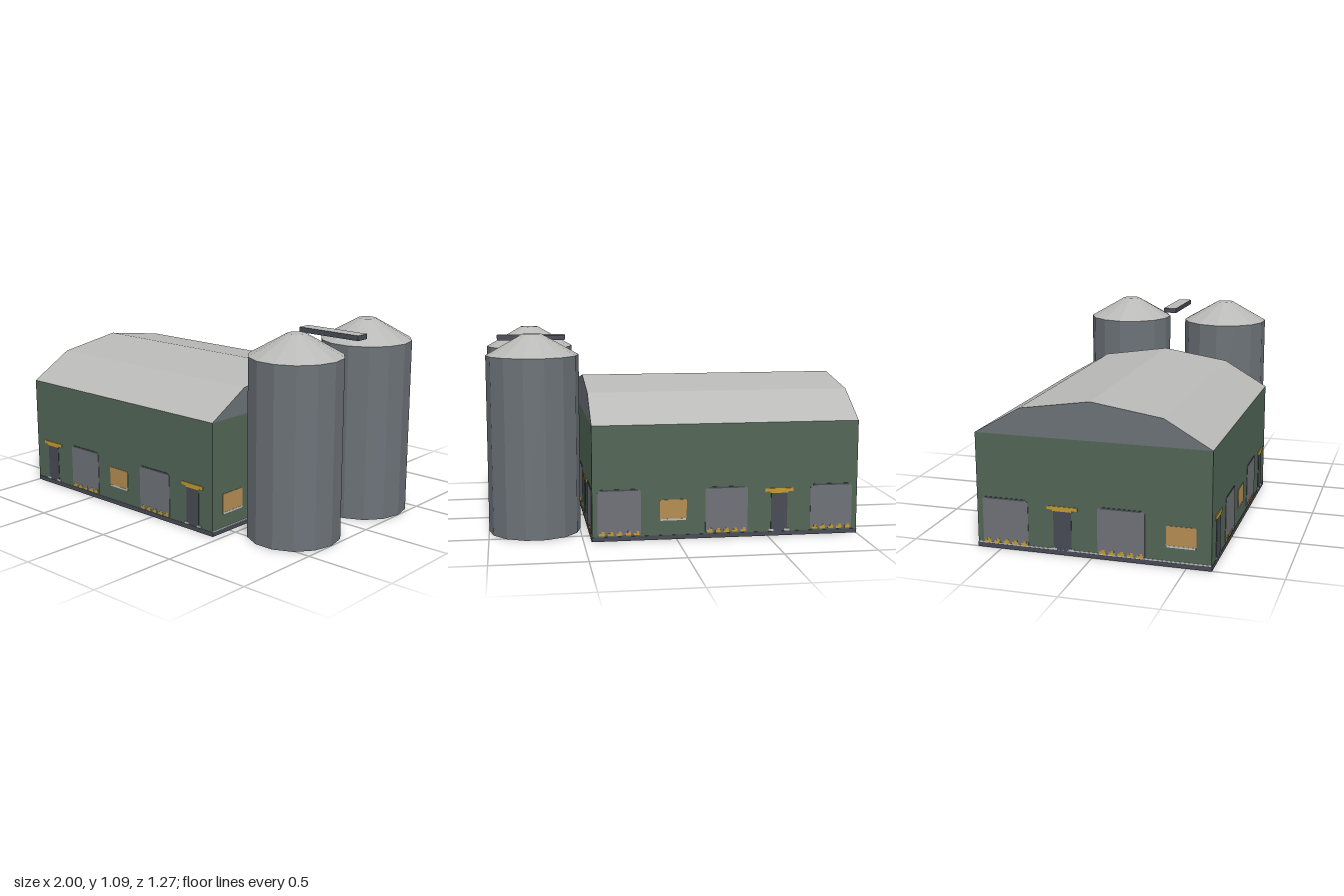
import * as THREE from 'three';

const mat = (name, color) => {
  const m = new THREE.MeshStandardMaterial({ color, side: THREE.DoubleSide, flatShading: true });
  m.name = name;
  return m;
};

export function createModel() {
  const M = {
    green: mat('wall green', 0x526656),
    roof: mat('roof light grey', 0xb9b9b8),
    steel: mat('steel grey', 0x6c7278),
    panel: mat('panel grey', 0x6e7177),
    dark: mat('dark slate', 0x484b55),
    yellow: mat('amber', 0xc39a30),
    tan: mat('window tan', 0xb58d52),
    light: mat('pale trim', 0xbcbdbd),
  };
  const X0 = -1, X1 = 0.455, Z = 0.63, EAVE = 0.625;
  const model = new THREE.Group();
  model.name = 'barnWithSilos';

  const add = (parent, name, geo, material, x = 0, y = 0, z = 0) => {
    const mesh = new THREE.Mesh(geo, material);
    mesh.name = name;
    mesh.position.set(x, y, z);
    parent.add(mesh);
    return mesh;
  };
  // thin plate straddling the wall sheet, so it shows inside and outside
  const plate = (parent, name, material, x, y0, y1, w, t = 0.005) =>
    add(parent, name, new THREE.BoxGeometry(w, y1 - y0, t), material, x, (y0 + y1) / 2, 0);
  // plate with clipped upper corners
  const clipped = (parent, name, material, x, y0, y1, w, c, t = 0.005) => {
    const h = w / 2;
    const s = new THREE.Shape([[-h, y0], [h, y0], [h, y1 - c], [h - c, y1], [c - h, y1], [-h, y1 - c]]
      .map(p => new THREE.Vector2(...p)));
    const g = new THREE.ExtrudeGeometry(s, { depth: t, bevelEnabled: false }).translate(0, 0, -t / 2);
    return add(parent, name, g, material, x);
  };

  // the three kinds of wall bay; b is the bay width
  const bays = {
    P(g, x, b) {
      const w = b * 0.8;
      clipped(g, 'loadingPanel', M.panel, x, 0.033, 0.278, w, 0.012);
      plate(g, 'panelLintel', M.dark, x, 0.272, 0.281, w * 0.86, 0.007);
      for (let i = -2; i <= 2; i++) {
        plate(g, 'bollard', M.yellow, x + i * w * 0.2, 0.03, 0.043, w * 0.13, 0.008);
        plate(g, 'bollardTop', M.yellow, x + i * w * 0.2 + 0.005, 0.043, 0.053, w * 0.06, 0.008);
      }
    },
    W(g, x, b) {
      clipped(g, 'window', M.tan, x, 0.113, 0.218, b * 0.5, 0.006);
      plate(g, 'windowSill', M.light, x, 0.104, 0.114, b * 0.48, 0.007);
    },
    D(g, x, b) {
      plate(g, 'door', M.dark, x, 0.025, 0.24, b * 0.31);
      plate(g, 'awning', M.yellow, x, 0.245, 0.263, b * 0.53, 0.008);
      plate(g, 'awningLip', M.yellow, x, 0.237, 0.246, b * 0.34, 0.008);
      for (const s of [-1, 1]) plate(g, 'doorStep', M.light, x + s * b * 0.15, 0.026, 0.037, b * 0.1, 0.008);
    },
  };

  // walls, each laid out left to right as seen from outside
  const gable = new THREE.Shape([[-Z, EAVE], [Z, EAVE], [0.38, 0.77], [0, 0.828], [-0.38, 0.77]]
    .map(p => new THREE.Vector2(...p)));
  const xm = (X0 + X1) / 2;
  const walls = [
    ['frontWall', 'DPWPD', X1 - X0, xm, Z, 0],
    ['backWall', 'PWPDP', X1 - X0, xm, -Z, Math.PI],
    ['rightEndWall', 'WPDP', 2 * Z, X1, 0, Math.PI / 2],
    ['leftEndWall', 'PDPW', 2 * Z, X0, 0, -Math.PI / 2],
  ];
  for (const [name, layout, len, x, z, turn] of walls) {
    const g = new THREE.Group();
    g.name = name;
    g.position.set(x, 0, z);
    g.rotation.y = turn;
    add(g, 'wallSheet', new THREE.PlaneGeometry(len, EAVE), M.green, 0, EAVE / 2, 0);
    plate(g, 'plinth', M.dark, 0, 0, 0.024, len);
    if (layout.length === 4) {
      plate(g, 'plinthTrim', M.light, 0, 0.024, 0.031, len, 0.004);
      add(g, 'gable', new THREE.ShapeGeometry(gable), M.steel);
    }
    const b = len / layout.length;
    [...layout].forEach((k, i) => bays[k](g, (i + 0.5) * b - len / 2, b));
    model.add(g);
  }

  // gambrel roof: one flat sheet per slope
  const profile = [[Z, EAVE], [0.38, 0.77], [0, 0.828], [-0.38, 0.77], [-Z, EAVE]];
  for (let i = 0; i < 4; i++) {
    const [za, ya] = profile[i], [zb, yb] = profile[i + 1];
    const geo = new THREE.BufferGeometry();
    geo.setAttribute('position', new THREE.Float32BufferAttribute(
      [X0, ya, za, X1, ya, za, X1, yb, zb, X0, yb, zb], 3));
    geo.setIndex([0, 1, 2, 0, 2, 3]);
    geo.computeVertexNormals();
    add(model, 'roofSlope', geo, M.roof);
  }

  // twin silos, open underneath
  const R = 0.2525, SX = 1 - R, H = 0.975, TOP = 1.09;
  for (const z of [0.31, -0.31]) {
    const silo = new THREE.Group();
    silo.name = 'silo';
    silo.position.set(SX, 0, z);
    silo.rotation.y = Math.PI / 2;
    add(silo, 'siloBody', new THREE.CylinderGeometry(R, R, H, 14, 1, true), M.steel, 0, H / 2, 0);
    add(silo, 'siloRoof', new THREE.CylinderGeometry(0.05, R, TOP - H, 14, 1, true), M.roof, 0, (H + TOP) / 2, 0);
    add(silo, 'siloCap', new THREE.CircleGeometry(0.05, 14).rotateX(-Math.PI / 2).rotateY(Math.PI / 2), M.roof, 0, TOP, 0);
    model.add(silo);
  }

  // catwalk between the silo tops: pale deck, dark sides
  add(model, 'catwalk', new THREE.BoxGeometry(0.386, 0.028, 0.078),
    [M.dark, M.dark, M.roof, M.dark, M.dark, M.dark], 0.745, 1.048, 0);

  return model;
}
